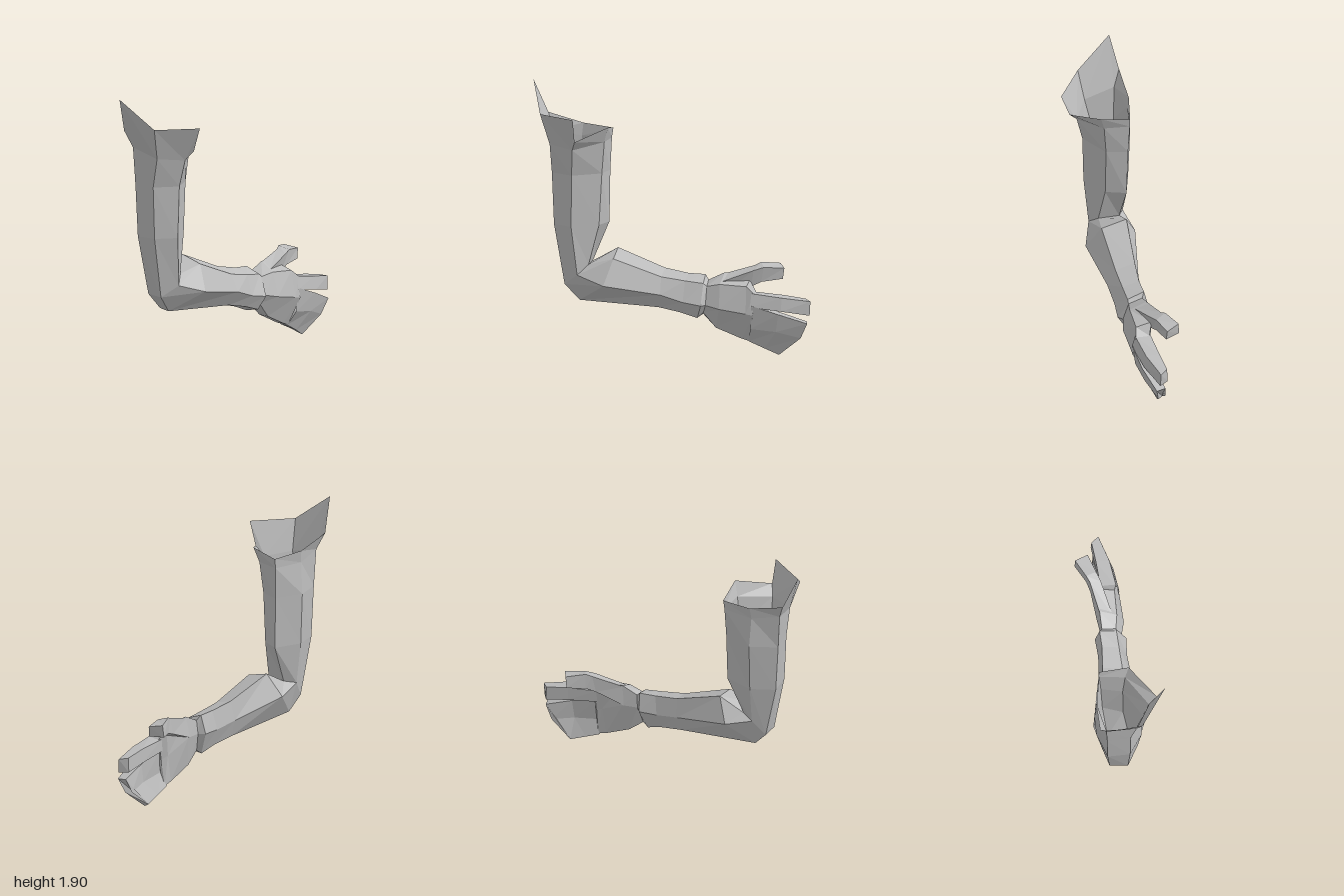
import * as THREE from 'three';

const skin = new THREE.MeshStandardMaterial({ color: 0xbcbcbc, flatShading: true, side: THREE.DoubleSide });
skin.name = 'grey';

// Joins cross-section rings into a faceted skin; cap closes the last ring.
function loft(name, rings, cap = false) {
  const pos = [];
  const tri = (a, b, c) => {
    if (a === b || b === c || a === c) return;
    pos.push(...a, ...b, ...c);
  };
  for (let r = 0; r + 1 < rings.length; r++) {
    const p = rings[r], q = rings[r + 1], n = p.length;
    for (let i = 0; i < n; i++) {
      const j = (i + 1) % n;
      tri(p[i], q[i], q[j]);
      tri(p[i], q[j], p[j]);
    }
  }
  if (cap) {
    const e = rings[rings.length - 1];
    for (let i = 1; i + 1 < e.length; i++) tri(e[0], e[i + 1], e[i]);
  }
  const geo = new THREE.BufferGeometry();
  geo.setAttribute('position', new THREE.Float32BufferAttribute(pos, 3));
  geo.computeVertexNormals();
  const mesh = new THREE.Mesh(geo, skin);
  mesh.name = name;
  return mesh;
}

export function createModel() {
  const arm = new THREE.Group();
  arm.name = 'arm';

  // Six-sided rings: front-left, front-right, right, back-right, back-left, left
  const shoulder = [[-0.2, 1.54, 0.86], [0.02, 1.48, 0.855], [0.13, 1.46, 0.68], [-0.01, 1.5, 0.47], [-0.19, 1.5, 0.44], [-0.235, 1.5, 0.66]];
  const elbow = [[-0.16, 0.48, 0.74], [-0.03, 0.47, 0.755], [0.05, 0.55, 0.655], [0, 0.62, 0.58], [-0.15, 0.62, 0.57], [-0.2, 0.6, 0.65]];
  const wrist = [[-0.04, 0.28, -0.23], [0.03, 0.3, -0.24], [0.07, 0.36, -0.26], [0.03, 0.49, -0.265], [-0.07, 0.52, -0.265], [-0.08, 0.42, -0.26]];

  // Torn, flared opening at the shoulder
  const [a, b, c, d, e, f] = shoulder;
  arm.add(loft('shoulderFlare', [
    [[-0.205, 1.9, 1], [0.05, 1.7, 0.92], [0.25, 1.7, 0.66], [0.19, 1.53, 0.655], [0.02, 1.61, 0.44], [-0.19, 1.57, 0.43], [-0.245, 1.59, 0.65], [-0.248, 1.66, 0.9]],
    [a, b, c, c, d, e, f, a],
  ]));

  arm.add(loft('upperArm', [
    shoulder,
    [[-0.19, 1.27, 0.845], [-0.025, 1.27, 0.845], [0.085, 1.27, 0.69], [-0.03, 1.27, 0.49], [-0.18, 1.27, 0.45], [-0.255, 1.27, 0.65]],
    [[-0.185, 0.9, 0.825], [-0.025, 0.9, 0.83], [0.075, 0.9, 0.695], [-0.03, 0.9, 0.51], [-0.17, 0.9, 0.455], [-0.24, 0.9, 0.65]],
    elbow,
  ]));

  // Forearm from the elbow point to the cuff, then the narrow wrist
  arm.add(loft('forearm', [
    elbow,
    [[-0.13, 0.37, 0.65], [-0.05, 0.355, 0.65], [0.13, 0.49, 0.46], [0.03, 0.67, 0.4], [-0.15, 0.72, 0.39], [-0.235, 0.55, 0.46]],
    [[-0.1, 0.325, 0.08], [0.02, 0.33, 0.08], [0.09, 0.43, 0.06], [0.03, 0.55, 0.06], [-0.11, 0.59, 0.05], [-0.14, 0.45, 0.06]],
    [[-0.07, 0.29, -0.08], [0.04, 0.3, -0.08], [0.085, 0.38, -0.1], [0.03, 0.525, -0.11], [-0.09, 0.56, -0.12], [-0.12, 0.42, -0.1]],
    [[-0.05, 0.25, -0.19], [0.05, 0.265, -0.2], [0.1, 0.36, -0.23], [0.03, 0.51, -0.24], [-0.09, 0.555, -0.24], [-0.125, 0.42, -0.23]],
    wrist,
  ]));

  const palmEnd = [[-0.04, 0.1, -0.57], [0.01, 0.1, -0.57], [0.1, 0.3, -0.6], [0.08, 0.45, -0.61], [-0.02, 0.45, -0.61], [-0.01, 0.28, -0.6]];
  arm.add(loft('palm', [
    wrist,
    [[-0.05, 0.2, -0.33], [0.03, 0.195, -0.33], [0.1, 0.34, -0.36], [0.05, 0.51, -0.36], [-0.07, 0.575, -0.38], [-0.09, 0.42, -0.37]],
    [[-0.045, 0.12, -0.51], [0.02, 0.12, -0.51], [0.1, 0.31, -0.55], [0.06, 0.5, -0.55], [-0.05, 0.53, -0.56], [-0.045, 0.32, -0.54]],
    palmEnd,
  ], true));

  // Digits use rings ordered bottom-left, bottom-right, then up and round
  arm.add(loft('thumb', [
    [[-0.09, 0.42, -0.36], [-0.01, 0.42, -0.36], [0.02, 0.52, -0.36], [-0.07, 0.565, -0.37]],
    [[-0.11, 0.5, -0.56], [-0.05, 0.48, -0.57], [-0.03, 0.6, -0.59], [-0.11, 0.625, -0.59]],
    [[-0.13, 0.525, -0.63], [-0.06, 0.515, -0.64], [-0.055, 0.62, -0.66], [-0.13, 0.645, -0.63]],
    [[-0.195, 0.54, -0.75], [-0.09, 0.535, -0.79], [-0.095, 0.61, -0.8], [-0.19, 0.63, -0.76]],
  ], true));

  arm.add(loft('indexFinger', [
    [[-0.03, 0.36, -0.58], [0.1, 0.36, -0.58], [0.08, 0.455, -0.59], [-0.03, 0.45, -0.59]],
    [[-0.04, 0.33, -0.8], [0.075, 0.33, -0.8], [0.06, 0.425, -0.8], [-0.035, 0.43, -0.8]],
    [[-0.05, 0.3, -0.96], [0.015, 0.295, -0.995], [0.01, 0.395, -1], [-0.045, 0.405, -0.96]],
  ], true));

  // Remaining fingers held together and curling inward
  arm.add(loft('curledFingers', [
    [[-0.05, 0.1, -0.56], [0.01, 0.1, -0.56], [0.075, 0.2, -0.58], [0.1, 0.37, -0.59], [-0.02, 0.37, -0.59], [-0.01, 0.2, -0.58]],
    [[-0.055, 0.06, -0.66], [0, 0.05, -0.67], [0.06, 0.18, -0.76], [0.085, 0.31, -0.78], [-0.01, 0.31, -0.78], [-0.01, 0.17, -0.76]],
    [[-0.068, 0.02, -0.77], [-0.03, 0, -0.77], [0.01, 0.13, -0.93], [0.035, 0.24, -0.98], [-0.03, 0.245, -0.97], [-0.045, 0.14, -0.92]],
  ], true));

  return arm;
}
